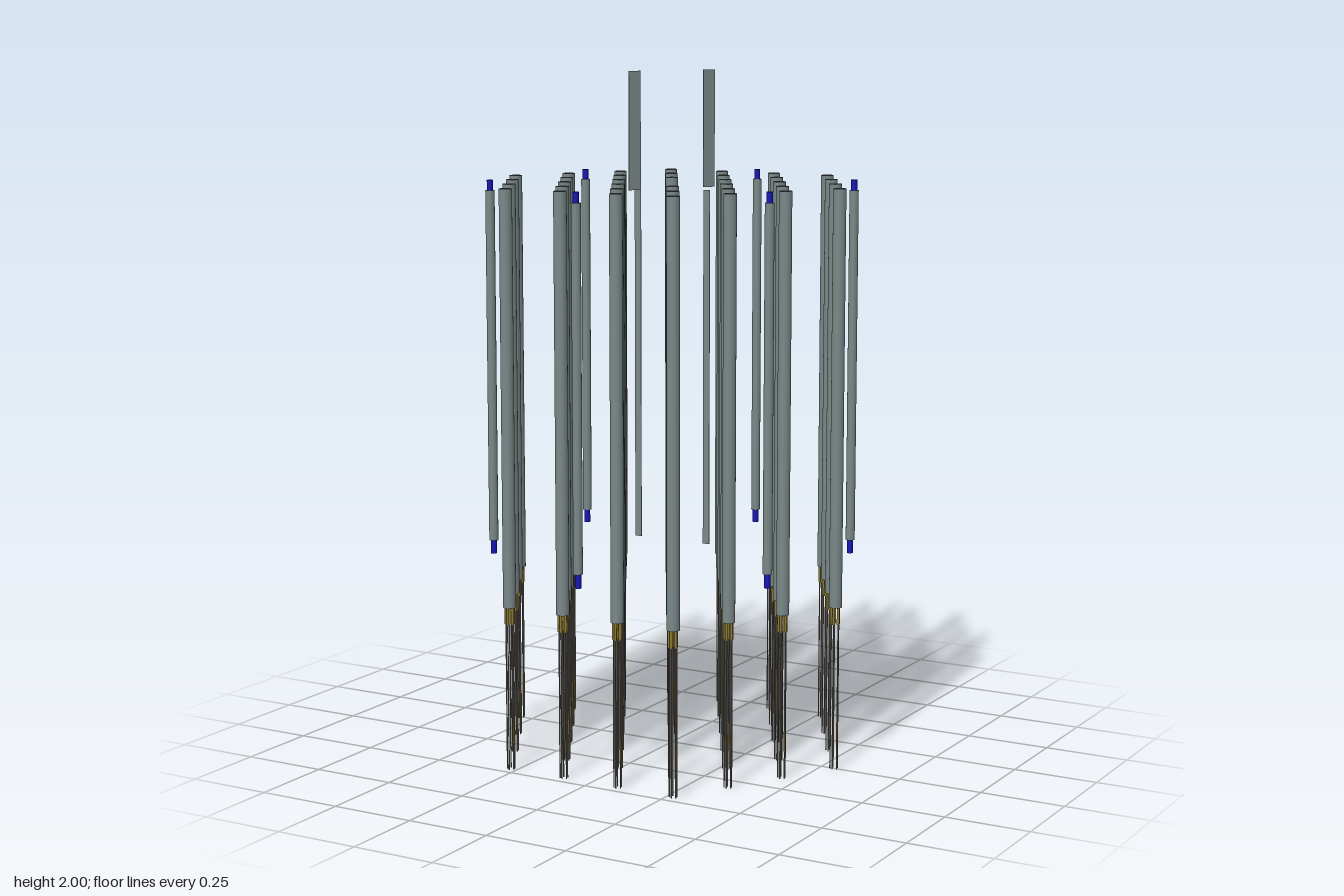
import * as THREE from 'three';
import { mergeGeometries } from 'three/addons/utils/BufferGeometryUtils.js';

const mat = (color) => new THREE.MeshStandardMaterial({ color, side: THREE.DoubleSide });
const steel = mat(0x7a8787), strandGrey = mat(0x77726a), gold = mat(0x8f7d35), blue = mat(0x1414b4);

// Upright cylinder spanning y0..y1, open-ended unless capped
function tube(r, y0, y1, sides = 20, open = true, x = 0, z = 0) {
  return new THREE.CylinderGeometry(r, r, y1 - y0, sides, 1, open).translate(x, (y0 + y1) / 2, z);
}

// Five copies of a small tube arranged in a ring
function ring(r, y0, y1, ringRadius = 0.0112) {
  const parts = [];
  for (let i = 0; i < 5; i++) {
    const a = (i / 5) * Math.PI * 2 + 0.3;
    parts.push(tube(r, y0, y1, 8, true, ringRadius * Math.cos(a), ringRadius * Math.sin(a)));
  }
  return mergeGeometries(parts);
}

function assembly(name, pieces) {
  const g = new THREE.Group();
  g.name = name;
  for (const [part, geometry, material] of pieces) {
    const m = new THREE.Mesh(geometry, material);
    m.name = part;
    g.add(m);
  }
  return g;
}

export function createModel() {
  const model = new THREE.Group();
  model.name = 'rodArray';

  // Open sheath around five pins, with thin leads hanging below
  const rod = assembly('rod', [
    ['sheath', tube(0.0187, 0.48, 1.68), steel],
    ['pins', ring(0.0042, 0.48, 1.68), strandGrey],
    ['pinCollars', ring(0.0042, 0.43, 0.48), gold],
    ['leads', ring(0.002, 0, 0.43), strandGrey],
    ['leadSleeve', tube(0.0026, 0.08, 0.14, 8, true, 0.0112 * Math.cos(0.3), 0.0112 * Math.sin(0.3)), gold],
  ]);

  // Hexagonal lattice of rods with the centre left empty
  const pitch = 0.18;
  for (let row = -3; row <= 3; row++) {
    const count = 7 - Math.abs(row);
    for (let i = 0; i < count; i++) {
      const x = (i - (count - 1) / 2) * pitch;
      if (row === 0 && Math.abs(x) < 0.01) continue;
      const r = rod.clone();
      r.position.set(x, 0, row * 0.1555);
      model.add(r);
    }
  }

  // Six outer rods with blue ends
  const outer = assembly('outerRod', [
    ['shell', tube(0.0135, 0.62, 1.655, 20, false), steel],
    ['blueLiner', tube(0.009, 0.58, 1.685, 16), blue],
    ['core', tube(0.0075, 0.582, 1.683, 16, false), steel],
  ]);
  for (let i = 0; i < 6; i++) {
    const a = Math.PI / 6 + (i * Math.PI) / 3;
    const r = outer.clone();
    r.position.set(0.528 * Math.cos(a), 0, 0.528 * Math.sin(a));
    model.add(r);
  }

  // Thin radial blades around the centre: a low pair and a raised pair
  function bladePair(name, angle, radius, width, y0, y1) {
    for (const a of [angle, angle + Math.PI]) {
      const blade = new THREE.Mesh(new THREE.BoxGeometry(width, y1 - y0, 0.002), steel);
      blade.name = name;
      blade.position.set(radius * Math.cos(a), (y0 + y1) / 2, -radius * Math.sin(a));
      blade.rotation.y = a;
      model.add(blade);
    }
  }
  bladePair('lowBlade', 0, 0.115, 0.021, 0.62, 1.66);
  bladePair('raisedBlade', Math.PI / 3, 0.124, 0.039, 1.66, 2);

  return model;
}
